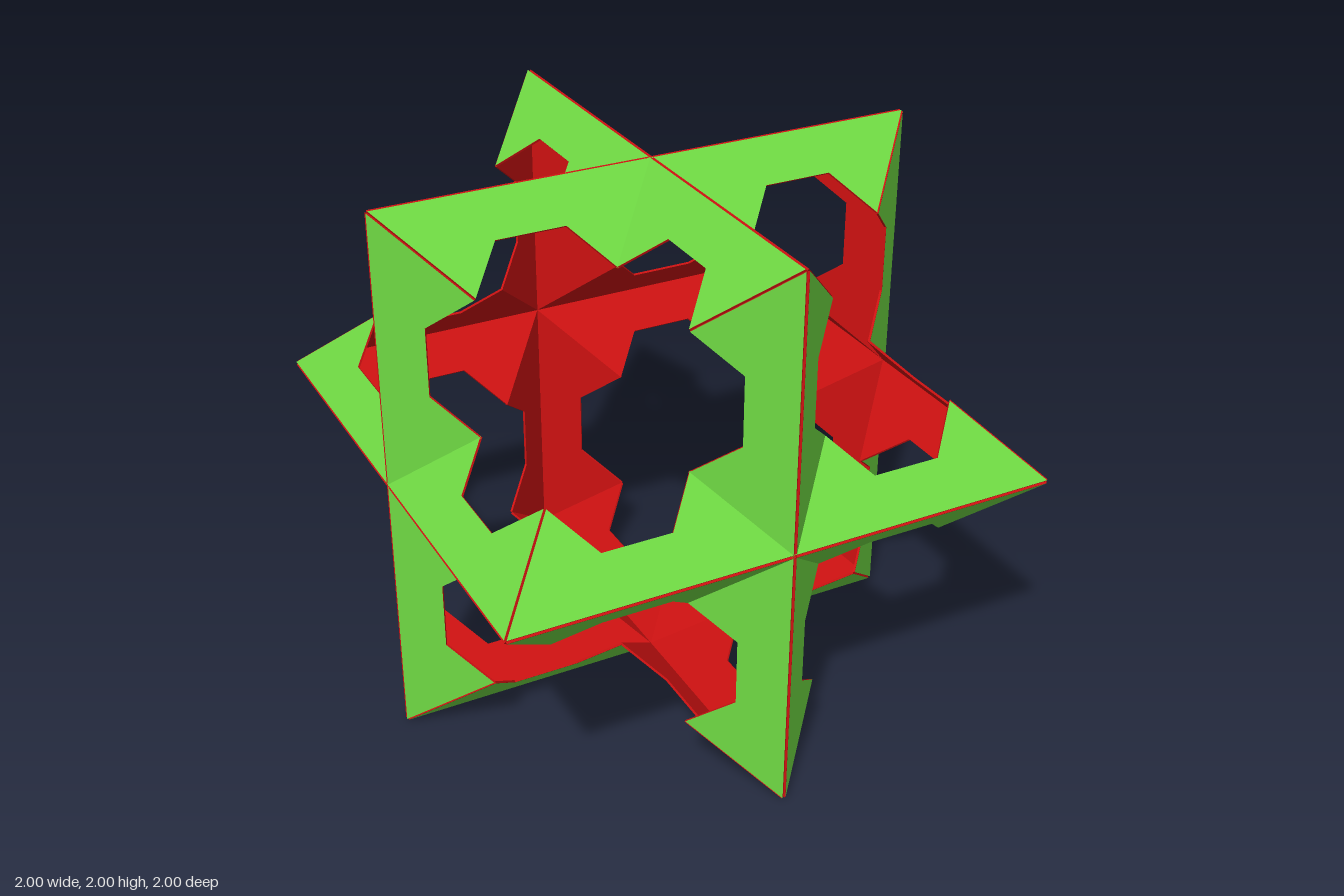
import * as THREE from 'three';

const SKIN = 0.008;                   // thickness of each panel
const SIZE = 1 - SKIN / Math.SQRT2;   // keeps the outer skin inside the 2-unit cube
const HALF = Math.SQRT1_2;            // half-height of a face plane

// One notched triangle: along runs down the outer edge, depth runs towards the cut-off tip
const OUTLINE = [[0, 0], [1, 0], [0.75, 0.25], [0.625, 0.125], [0.375, 0.125], [0.25, 0.25]];

function panelShape(sx, sy) {
  return new THREE.Shape(OUTLINE.map(([along, depth]) =>
    new THREE.Vector2(sx * along * SIZE, sy * (HALF - depth * Math.SQRT2) * SIZE)));
}

export function createModel() {
  const model = new THREE.Group();
  const green = new THREE.MeshStandardMaterial({ color: 0x6fd943, flatShading: true });
  const red = new THREE.MeshStandardMaterial({ color: 0xcc1111, flatShading: true });

  // Four mirrored panels share each plane of the star
  const shapes = [[1, 1], [-1, 1], [1, -1], [-1, -1]].map(([sx, sy]) => panelShape(sx, sy));
  const lining = new THREE.ExtrudeGeometry(shapes, { depth: SKIN, bevelEnabled: false });
  const skin = new THREE.ShapeGeometry(shapes);
  skin.translate(0, 0, SKIN + 0.0005);

  // Twelve planes: one per axis and pair of signs, each facing along a cube edge direction
  for (let axis = 0; axis < 3; axis++) {
    for (const s of [1, -1]) {
      for (const t of [1, -1]) {
        const u = new THREE.Vector3().setComponent(axis, 1);
        const n = new THREE.Vector3()
          .setComponent((axis + 1) % 3, s)
          .setComponent((axis + 2) % 3, t)
          .normalize();
        const v = new THREE.Vector3().crossVectors(n, u);

        const face = new THREE.Group();
        face.name = 'starFace';
        face.quaternion.setFromRotationMatrix(new THREE.Matrix4().makeBasis(u, v, n));
        face.position.copy(n).multiplyScalar(HALF * SIZE);
        face.position.y += 1;

        const inner = new THREE.Mesh(lining, red);
        inner.name = 'innerLining';
        const outer = new THREE.Mesh(skin, green);
        outer.name = 'outerSkin';
        face.add(inner, outer);
        model.add(face);
      }
    }
  }
  return model;
}
